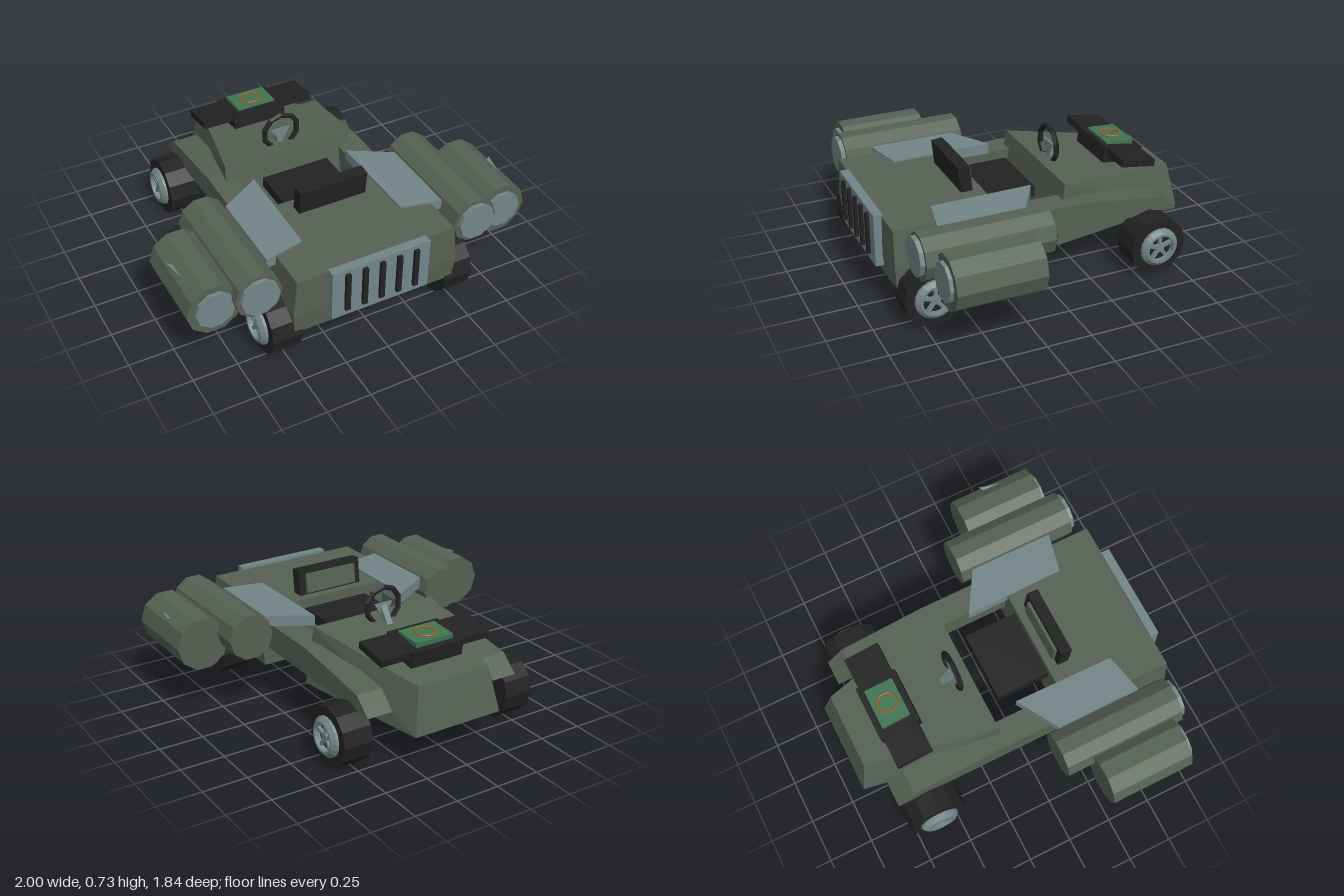
import * as THREE from 'three';
import { ConvexGeometry } from 'three/addons/geometries/ConvexGeometry.js';

const material = (name, color) => {
  const m = new THREE.MeshStandardMaterial({ color });
  m.name = name;
  return m;
};

export function createModel() {
  const model = new THREE.Group();
  model.name = 'buggy';
  const olive = material('olive body', 0x566054);
  const black = material('black', 0x222222);
  const steel = material('blue grey steel', 0x738587);
  const green = material('green panel', 0x427350);
  const gold = material('gold', 0x8f6030);

  // Adds a faceted mesh
  const add = (name, geometry, mat, x = 0, y = 0, z = 0, parent = model) => {
    const flat = geometry.index ? geometry.toNonIndexed() : geometry;
    flat.computeVertexNormals();
    const mesh = new THREE.Mesh(flat, mat);
    mesh.name = name;
    mesh.position.set(x, y, z);
    parent.add(mesh);
    return mesh;
  };
  const box = (w, h, d) => new THREE.BoxGeometry(w, h, d);
  const hull = (points) => new ConvexGeometry(points.map((p) => new THREE.Vector3(...p)));
  // Symmetric hull from [half width, y, z] corners
  const mirroredHull = (corners) => hull(corners.flatMap(([x, y, z]) => [[x, y, z], [-x, y, z]]));
  // Ten-sided drum along z with a flat top
  const drum = (r, length) =>
    new THREE.CylinderGeometry(r, r, length, 10, 1, false, Math.PI / 10).rotateX(Math.PI / 2);

  // Main block with a slight waist line
  add('engineBlock', mirroredHull([
    [0.47, 0.18, 0.26], [0.47, 0.18, 0.85], [0.482, 0.31, 0.26], [0.482, 0.31, 0.86],
    [0.46, 0.52, 0.26], [0.46, 0.52, 0.855],
  ]), olive);

  // Tapered cowl at the far end
  add('cowl', mirroredHull([
    [0.41, 0.197, -0.088], [0.265, 0.197, -0.918],
    [0.385, 0.545, -0.14], [0.22, 0.45, -0.868],
  ]), olive);

  // Grille with five slats
  add('grille', box(0.57, 0.3, 0.05), steel, 0, 0.385, 0.875);
  for (let i = -2; i <= 2; i++) add('grilleSlat', box(0.028, 0.235, 0.03), black, i * 0.1, 0.395, 0.903);

  // Seat
  add('seatCushion', box(0.4, 0.06, 0.32), black, 0, 0.437, 0.11);
  const seatBack = new THREE.Group();
  seatBack.name = 'seatBack';
  seatBack.position.set(0, 0.585, 0.345);
  seatBack.rotation.x = 0.1;
  model.add(seatBack);
  add('backrest', box(0.4, 0.16, 0.065), black, 0, 0, 0.01, seatBack);
  add('backrestPad', box(0.32, 0.11, 0.02), olive, 0, 0, -0.03, seatBack);

  // Steering wheel and column
  add('steeringWheel', new THREE.TorusGeometry(0.105, 0.016, 5, 10).rotateZ(Math.PI / 10),
    black, 0, 0.61, -0.225);
  add('steeringSpoke', hull([
    [-0.055, 0.625, -0.22], [0.055, 0.625, -0.22], [0, 0.53, -0.22],
    [-0.055, 0.625, -0.232], [0.055, 0.625, -0.232], [0, 0.53, -0.232],
  ]), steel);
  add('steeringColumn', mirroredHull([
    [0.018, 0.62, -0.228], [0.018, 0.52, -0.228], [0.018, 0.52, -0.3],
  ]), steel);

  // Tilted console on the cowl
  const console = new THREE.Group();
  console.name = 'console';
  console.position.set(0, 0.535, -0.61);
  console.rotation.x = -0.15;
  model.add(console);
  add('consoleBox', box(0.32, 0.09, 0.235), black, 0, 0, 0, console);
  add('consoleWings', box(0.68, 0.04, 0.205), black, 0, 0.022, 0, console);
  const plate = add('consolePlate', box(0.23, 0.03, 0.165), green, 0, 0.584, -0.615);
  plate.rotation.x = -0.06;
  add('consoleRing', new THREE.TorusGeometry(0.054, 0.007, 5, 14).rotateX(Math.PI / 2 - 0.06),
    gold, 0, 0.602, -0.615);

  // Ring of the wheel rim, turned about y
  const rimProfile = [[0.075, 0], [0.113, 0], [0.11, 0.025], [0.088, 0.045], [0.075, 0.045], [0.075, 0]]
    .map(([r, y]) => new THREE.Vector2(r, y));

  const addWheel = (side, z) => {
    const wheel = new THREE.Group();
    wheel.name = 'wheel';
    wheel.position.set(side * 0.512, 0.166, z);
    wheel.rotation.z = -side * Math.PI / 2;
    model.add(wheel);
    add('tyre', new THREE.CylinderGeometry(0.166, 0.166, 0.168, 12), black, 0, 0, 0, wheel);
    add('rim', new THREE.LatheGeometry(rimProfile, 20), steel, 0, 0.073, 0, wheel);
    add('hub', new THREE.CylinderGeometry(0.025, 0.025, 0.03, 10), steel, 0, 0.09, 0, wheel);
    for (let i = 0; i < 5; i++) {
      const spoke = new THREE.Group();
      spoke.name = 'spoke';
      spoke.rotation.y = i * Math.PI * 2 / 5 - side * Math.PI / 2;
      wheel.add(spoke);
      add('spokeBar', box(0.02, 0.025, 0.08), steel, 0, 0.09, 0.042, spoke);
    }
  };

  for (const s of [1, -1]) {
    addWheel(s, 0.692);
    addWheel(s, -0.614);

    // Long side rail
    const railProfile = [[-0.79, 0.305], [-0.69, 0.395], [-0.2, 0.457], [0.4, 0.457], [0.4, 0.305]];
    add('sideRail', hull(railProfile.flatMap(([z, y]) => [[s * 0.32, y, z], [s * 0.468, y, z]])), olive);

    // Flat bridge between the block and the drums
    const bridge = [[0.52, 0.155], [0.285, 0.015], [0.295, 0.59], [0.52, 0.64]];
    add('bridgePanel', hull(bridge.flatMap(([x, z]) => [[s * x, 0.47, z], [s * x, 0.53, z]])), steel);

    // Twin drums with discs and a small fin
    add('innerDrum', drum(0.13, 0.7), olive, s * 0.637, 0.456, 0.44);
    add('innerDisc', drum(0.107, 0.04), steel, s * 0.637, 0.462, 0.795);
    add('outerDrum', drum(0.15, 0.48), olive, s * 0.85, 0.41, 0.485);
    add('outerDisc', drum(0.107, 0.04), steel, s * 0.85, 0.415, 0.725);
    add('drumFin', hull([
      [s * 0.972, 0.521, 0.42], [s * 0.94, 0.515, 0.445], [s * 0.945, 0.518, 0.545], [s * 0.96, 0.485, 0.46],
    ]), steel);
  }

  return model;
}
